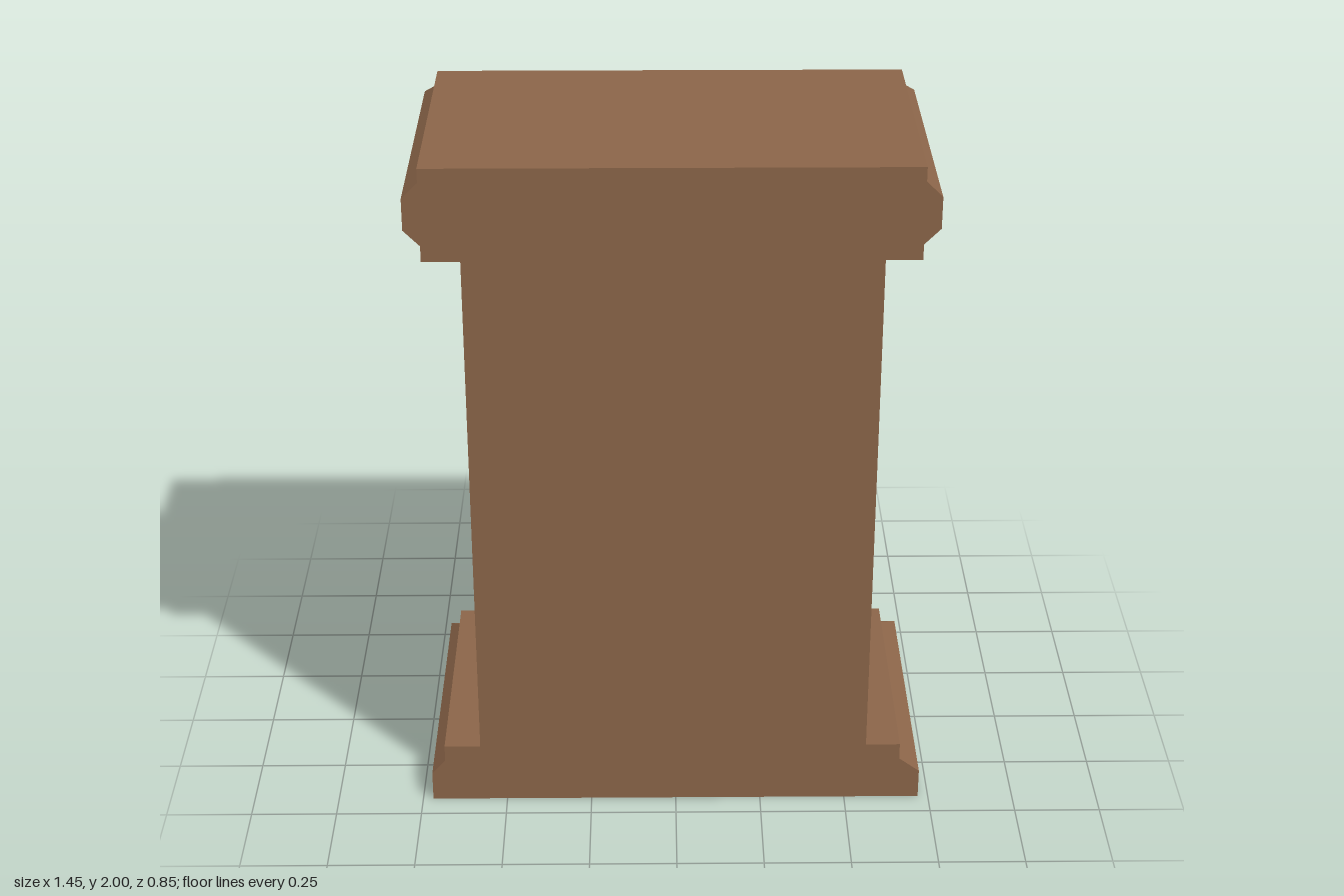
import * as THREE from 'three';
import { toCreasedNormals } from 'three/addons/utils/BufferGeometryUtils.js';

const wood = new THREE.MeshStandardMaterial({ color: 0x8b6549 });
const grey = new THREE.MeshStandardMaterial({ color: 0xcccccc });
const black = new THREE.MeshStandardMaterial({ color: 0x0a0a0a });
const brass = new THREE.MeshStandardMaterial({ color: 0xb08a50 });

const BACK = 0.425;   // flat rear plane
const FACE = -0.2;    // panel carrying the dial

function add(parent, name, geometry, material, x = 0, y = 0, z = 0) {
  const mesh = new THREE.Mesh(geometry, material);
  mesh.name = name;
  mesh.position.set(x, y, z);
  parent.add(mesh);
  return mesh;
}

// Box given by its limits
function block(parent, name, x0, x1, y0, y1, z0, z1) {
  const g = new THREE.BoxGeometry(x1 - x0, y1 - y0, z1 - z0);
  return add(parent, name, g, wood, (x0 + x1) / 2, (y0 + y1) / 2, (z0 + z1) / 2);
}

// Moulding from stacked rectangles [y, xMin, xMax, zFront], flat at the back
function moulding(levels) {
  const rings = levels.map(([y, x0, x1, z]) => [
    [x0, y, BACK], [x1, y, BACK], [x1, y, z], [x0, y, z],
  ]);
  const pos = [];
  const quad = (a, b, c, d) => pos.push(...a, ...b, ...c, ...a, ...c, ...d);
  for (let i = 0; i < rings.length - 1; i++) {
    for (let k = 0; k < 4; k++) {
      const n = (k + 1) % 4;
      quad(rings[i][k], rings[i][n], rings[i + 1][n], rings[i + 1][k]);
    }
  }
  quad(...rings[rings.length - 1]);
  quad(...[...rings[0]].reverse());
  const g = new THREE.BufferGeometry();
  g.setAttribute('position', new THREE.Float32BufferAttribute(pos, 3));
  g.computeVertexNormals();
  return g;
}

function lathe(points, segments) {
  const g = new THREE.LatheGeometry(points.map(([r, y]) => new THREE.Vector2(r, y)), segments);
  return toCreasedNormals(g, 0.5);
}

// Thin hand with an arrow tip, pointing up
function handGeometry(length) {
  const s = new THREE.Shape();
  const w = 0.007, tip = 0.02, neck = length - 0.065;
  s.moveTo(-w, -0.02);
  s.lineTo(w, -0.02);
  s.lineTo(w, neck);
  s.lineTo(tip, neck + 0.015);
  s.lineTo(0, length);
  s.lineTo(-tip, neck + 0.015);
  s.lineTo(-w, neck);
  s.closePath();
  return new THREE.ExtrudeGeometry(s, { depth: 0.008, bevelEnabled: false });
}

export function createModel() {
  const clock = new THREE.Group();
  clock.name = 'mantelClock';

  // Case
  block(clock, 'caseBody', -0.575, 0.56, 0.15, 1.76, FACE, BACK);
  add(clock, 'base', moulding([
    [0, -0.72, 0.72, -0.425], [0.09, -0.72, 0.72, -0.425],
    [0.135, -0.68, 0.66, -0.345], [0.185, -0.68, 0.66, -0.345],
  ]), wood);
  add(clock, 'crown', moulding([
    [1.735, -0.68, 0.66, -0.345], [1.78, -0.68, 0.66, -0.345],
    [1.825, -0.725, 0.705, -0.41], [1.915, -0.725, 0.705, -0.41],
    [1.96, -0.68, 0.66, -0.345], [2, -0.68, 0.66, -0.345],
  ]), wood);

  // Turned columns between square blocks
  const turned = lathe([
    [0, 0.585], [0.052, 0.585], [0.062, 0.605], [0.06, 0.625], [0.045, 0.64],
    [0.041, 0.65], [0.041, 0.688], [0.058, 0.69], [0.058, 0.697], [0.04, 0.7],
    [0.043, 0.76], [0.053, 0.86], [0.0625, 0.96], [0.0645, 1.07], [0.0625, 1.19],
    [0.053, 1.34], [0.043, 1.46], [0.036, 1.53], [0.054, 1.533], [0.054, 1.548],
    [0.038, 1.552], [0.038, 1.568], [0.046, 1.572], [0.048, 1.585], [0.041, 1.61],
    [0.036, 1.635], [0.055, 1.637], [0.055, 1.66], [0, 1.66],
  ], 32);
  for (const [side, x] of [['left', 0.499], ['right', -0.514]]) {
    const column = new THREE.Group();
    column.name = side + 'Column';
    clock.add(column);
    block(column, 'pedestal', x - 0.061, x + 0.061, 0.18, 0.585, -0.323, FACE);
    block(column, 'capital', x - 0.061, x + 0.061, 1.655, 1.74, -0.323, FACE);
    add(column, 'turnedShaft', turned, wood, x, 0, -0.262);
  }

  // Dial on the -z panel; its local +z points out of the panel
  const dial = new THREE.Group();
  dial.name = 'dial';
  dial.position.set(-0.01, 1.235, FACE);
  dial.rotation.y = Math.PI;
  clock.add(dial);
  const bezel = lathe([
    [0.425, -0.01], [0.425, 0.07], [0.418, 0.08], [0.39, 0.08], [0.385, 0.074], [0.37, 0.035],
  ], 64);
  add(dial, 'bezel', bezel.rotateX(Math.PI / 2), grey);
  add(dial, 'face', new THREE.CircleGeometry(0.375, 64), grey, 0, 0, 0.036);

  // Hands and centre pin
  add(dial, 'hourHand', handGeometry(0.236), black, 0, 0, 0.05).rotation.z = Math.PI / 4;
  add(dial, 'minuteHand', handGeometry(0.376), black, 0, 0, 0.064).rotation.z = -0.8;
  for (const [name, r, z0, z1, mat] of [['handHub', 0.022, 0.03, 0.075, black], ['centrePin', 0.017, 0.07, 0.1, brass]]) {
    const pin = new THREE.CylinderGeometry(r, r, z1 - z0, 16).rotateX(Math.PI / 2);
    add(dial, name, pin, mat, 0, 0, (z0 + z1) / 2);
  }
  return clock;
}
